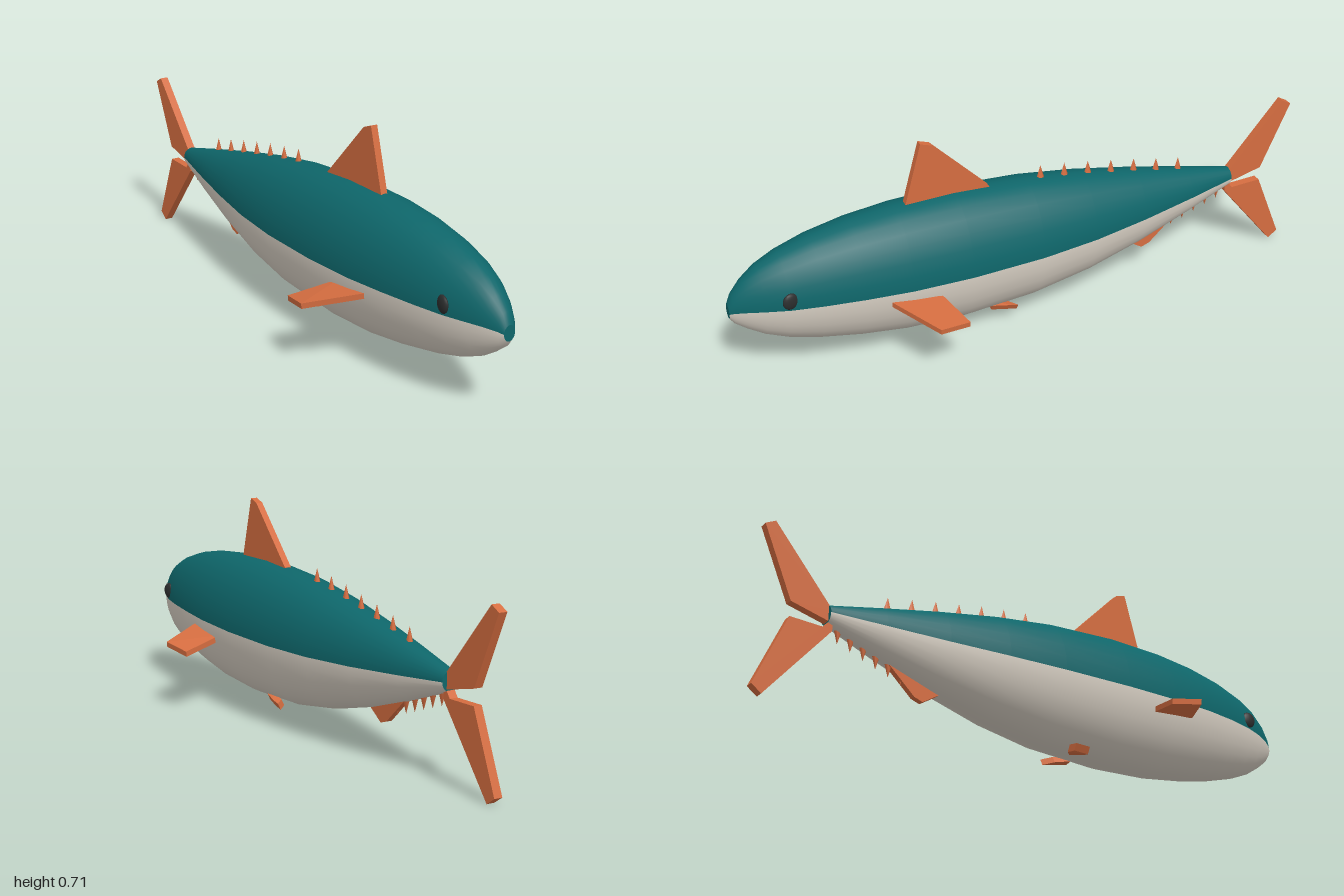
import * as THREE from 'three';
import { ConvexGeometry } from 'three/addons/geometries/ConvexGeometry.js';

const material = (name, color) => {
  const m = new THREE.MeshStandardMaterial({ color });
  m.name = name;
  return m;
};

// Body sections from nose to tail: z, half width, bottom y, top y
const SECTIONS = [
  [1, 0.02, 0.255, 0.305], [0.985, 0.032, 0.233, 0.34], [0.95, 0.053, 0.205, 0.38],
  [0.9, 0.076, 0.172, 0.418], [0.83, 0.101, 0.142, 0.449], [0.73, 0.124, 0.113, 0.478],
  [0.6, 0.144, 0.086, 0.5], [0.45, 0.158, 0.064, 0.512], [0.25, 0.163, 0.053, 0.513],
  [0, 0.154, 0.064, 0.495], [-0.2, 0.134, 0.096, 0.465], [-0.4, 0.102, 0.147, 0.425],
  [-0.6, 0.065, 0.212, 0.38], [-0.775, 0.03, 0.275, 0.338],
];
const SIDES = 28;

// Interpolate bottom (column 2) or top (column 3) along the body
function profileY(z, column) {
  const i = Math.max(1, SECTIONS.findIndex((s) => s[0] <= z));
  const a = SECTIONS[i - 1], b = SECTIONS[i];
  return THREE.MathUtils.mapLinear(z, a[0], b[0], a[column], b[column]);
}

// One smooth skin: first group is the back, second group the belly
function bodyGeometry() {
  const pos = [], back = [], belly = [];
  SECTIONS.forEach(([z, w, low, high], r) => {
    for (let s = 0; s < SIDES; s++) {
      const a = (s / SIDES) * Math.PI * 2;
      pos.push(w * Math.cos(a), (low + high) / 2 + ((high - low) / 2) * Math.sin(a), z);
      if (r === SECTIONS.length - 1) continue;
      const n = (s + 1) % SIDES, p = r * SIDES, q = p + SIDES;
      (s < SIDES / 2 ? back : belly).push(p + s, q + s, p + n, p + n, q + s, q + n);
    }
  });
  const g = new THREE.BufferGeometry();
  g.setAttribute('position', new THREE.Float32BufferAttribute(pos, 3));
  g.setIndex([...back, ...belly]);
  g.addGroup(0, back.length, 0);
  g.addGroup(back.length, belly.length, 1);
  g.computeVertexNormals();
  return g;
}

// Upright fin on the centre line, outlined by [z, y] points
function uprightFin(points, thickness) {
  const shape = new THREE.Shape(points.map(([z, y]) => new THREE.Vector2(z, y)));
  const g = new THREE.ExtrudeGeometry(shape, { depth: thickness, bevelEnabled: false });
  return g.translate(0, 0, -thickness / 2).rotateY(-Math.PI / 2);
}

// Paired fin: top outline pushed along an offset, mirrored by side
function pairedFin(points, offset, side) {
  const corners = [];
  for (const [x, y, z] of points) {
    corners.push(new THREE.Vector3(side * x, y, z));
    corners.push(new THREE.Vector3(side * (x + offset[0]), y + offset[1], z + offset[2]));
  }
  return new ConvexGeometry(corners);
}

export function createModel() {
  const teal = material('teal back', 0x0e666a);
  const cream = material('pale belly', 0xd6cec2);
  const orange = material('orange fins', 0xd56d40);
  const dark = material('dark eyes', 0x2c2e2e);
  const fish = new THREE.Group();
  fish.name = 'fish';
  const add = (name, geometry, mat) => {
    const mesh = new THREE.Mesh(geometry, mat);
    mesh.name = name;
    fish.add(mesh);
    return mesh;
  };

  add('body', bodyGeometry(), [teal, cream]);

  // Flat ends of the body
  [['noseCap', SECTIONS[0], 0], ['tailCap', SECTIONS.at(-1), Math.PI]].forEach(([name, [z, w, low, high], turn]) => {
    const cap = add(name, new THREE.CircleGeometry(1, SIDES), teal);
    cap.scale.set(w, (high - low) / 2, 1);
    cap.rotation.y = turn;
    cap.position.set(0, (low + high) / 2, z);
  });

  // Centre fins
  add('dorsalFin', uprightFin([[0.42, 0.49], [0.357, 0.713], [0.32, 0.7], [0.13, 0.505], [0.13, 0.48]], 0.023), orange);
  add('analFin', uprightFin([[-0.36, 0.16], [-0.44, 0.108], [-0.47, 0.118], [-0.56, 0.2], [-0.4, 0.19]], 0.02), orange);
  add('upperTailFin', uprightFin([[-0.76, 0.32], [-0.967, 0.56], [-1, 0.542], [-0.9, 0.313], [-0.76, 0.28]], 0.028), orange);
  add('lowerTailFin', uprightFin([[-0.76, 0.3], [-0.76, 0.254], [-0.967, 0], [-1, 0.024], [-0.9, 0.263], [-0.79, 0.26]], 0.028), orange);

  // Rows of small finlets above and below the tail
  for (let i = 0; i < 7; i++) {
    const z = -0.055 - i * 0.086;
    const finlet = add('upperFinlet', new THREE.ConeGeometry(0.018, 0.06, 6), orange);
    finlet.scale.x = 0.7;
    finlet.position.set(0, profileY(z, 3) + 0.012, z);
  }
  for (let i = 0; i < 6; i++) {
    const z = -0.515 - i * 0.044;
    const finlet = add('lowerFinlet', new THREE.ConeGeometry(0.015, 0.05, 6), orange);
    finlet.scale.x = 0.7;
    finlet.rotation.x = Math.PI;
    finlet.position.set(0, profileY(z, 2) - 0.012, z);
  }

  // Paired fins and eyes
  for (const [label, side] of [['left', 1], ['right', -1]]) {
    add(label + 'PectoralFin', pairedFin(
      [[0.13, 0.266, 0.535], [0.307, 0.232, 0.425], [0.286, 0.215, 0.32], [0.13, 0.248, 0.365]],
      [-0.002, -0.018, 0], side), orange);
    add(label + 'PelvicFin', pairedFin(
      [[0.045, 0.085, 0.15], [0.07, 0.08, 0.15], [0.085, 0.073, 0.085], [0.08, 0.064, 0.062], [0.05, 0.07, 0.09]],
      [-0.011, -0.022, 0], side), orange);
    const eye = add(label + 'Eye', new THREE.SphereGeometry(1, 16, 12), dark);
    eye.scale.set(0.011, 0.028, 0.026);
    eye.position.set(side * 0.099, 0.328, 0.828);
    eye.rotation.y = side * 0.15;
  }
  return fish;
}
